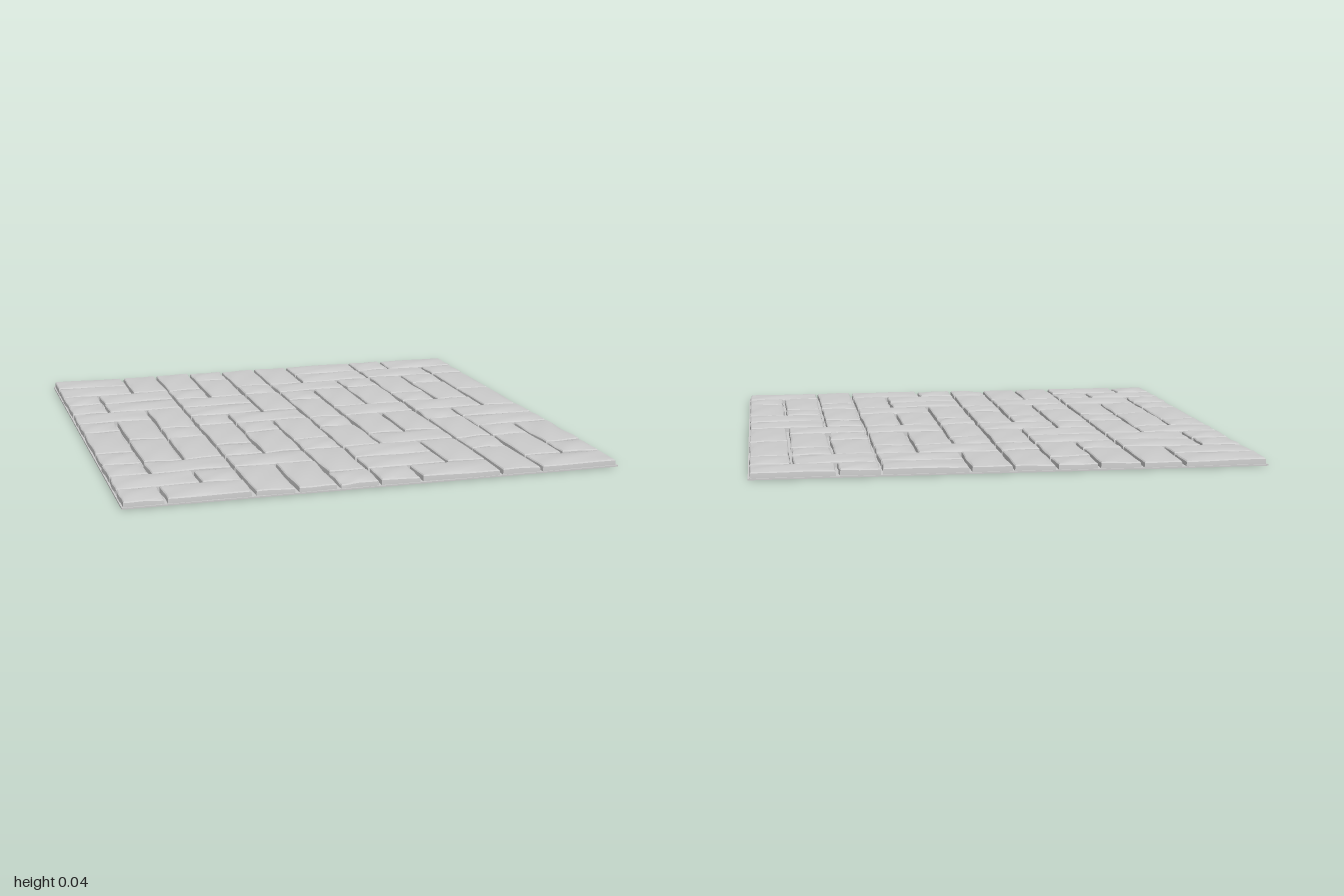
import * as THREE from 'three';
import { toCreasedNormals } from 'three/addons/utils/BufferGeometryUtils.js';

// Paving layout: H = two cells wide, V = two cells deep, S = single, . = already covered
const LAYOUT = [
  'H.VVSVVH.SH.',
  'H...V..H.H.S',
  'SH.S.SH.SVSV',
  'SH.H.VSVV.V.',
  'H.VH..V..S.V',
  'SV.SH..H.H..',
  'V.SVSVSVVSH.',
  '.VV.V.V..VH.',
  'S..S.S.H..SV',
  'SH.H.VH.VSV.',
  'H.SVV.H..V.S',
  'SH...SSH..H.',
];
const CELL = 2 / LAYOUT.length;
const GAP = 0.006;
const BASE = 0.006;

function seeded(seed) {
  let s = seed;
  return () => {
    s = (s * 16807) % 2147483647;
    return s / 2147483647;
  };
}

const limit = (n) => THREE.MathUtils.clamp(n, -0.998, 0.998);

// One worn stone: a box with wobbly sides, a rounded rim and a slightly domed, tilted top
function stoneGeometry(cx, cz, w, d, rand) {
  const vary = (a) => (rand() * 2 - 1) * a;
  const geo = new THREE.BoxGeometry(2, 2, 2, w > d ? 12 : 8, 3, d > w ? 12 : 8);
  const pos = geo.attributes.position;

  const tiltX = vary(0.0018), tiltZ = vary(0.0018), lift = vary(0.001);
  const skewX = vary(0.003), skewZ = vary(0.003);
  const waveX = vary(0.002), waveZ = vary(0.002);
  const phase = rand() * 6, ripple = 0.0007 + rand() * 0.0008;
  const chipped = w === d && rand() < 0.35;
  const chipX = rand() < 0.5 ? -1 : 1;

  for (let i = 0; i < pos.count; i++) {
    // Rows of vertices are packed towards the rim
    const u = Math.sin(pos.getX(i) * Math.PI / 2);
    const v = Math.sin(pos.getZ(i) * Math.PI / 2);
    const level = Math.round((pos.getY(i) + 1) * 1.5);

    // Wobbly outline, pulled in at the rim
    const inset = [0, 0, 0.001, 0.005][level];
    const x = u * (w / 2 - inset) + skewX * v * u + waveX * Math.sin(v * 4 + phase) * u * u;
    const z = v * (d / 2 - inset) + skewZ * u * v + waveZ * Math.sin(u * 4 + phase) * v * v;

    // Domed top
    let top = 0.0285 + 0.0065 * (1 - Math.pow(Math.abs(u), 2.5)) * (1 - Math.pow(Math.abs(v), 2.5));
    top += lift + tiltX * u + tiltZ * v + ripple * Math.sin(u * 3 + v * 4 + phase);
    if (chipped) {
      const r = Math.hypot(u - chipX * 0.8, v - 0.9);
      top -= 0.006 * Math.max(0, 1 - r / 0.9);
    }
    const y = [0.001, 0.012, top - 0.004, top][level];
    pos.setXYZ(i, limit(cx + x), y, limit(cz + z));
  }
  return toCreasedNormals(geo, 0.6);
}

export function createModel() {
  const model = new THREE.Group();
  model.name = 'cobblePavement';
  const material = new THREE.MeshStandardMaterial({ color: 0xcccccc });

  // Mortar bed under the stones
  const bed = new THREE.Mesh(new THREE.BoxGeometry(2, BASE, 2), material);
  bed.name = 'mortarBed';
  bed.position.y = BASE / 2;
  model.add(bed);

  // Stones
  const stones = new THREE.Group();
  stones.name = 'stones';
  const names = { H: 'wideStone', V: 'deepStone', S: 'squareStone' };
  const rand = seeded(4711);
  LAYOUT.forEach((line, row) => {
    [...line].forEach((kind, col) => {
      if (kind === '.') return;
      const w = kind === 'H' ? 2 * CELL : CELL;
      const d = kind === 'V' ? 2 * CELL : CELL;
      const cx = -1 + col * CELL + w / 2;
      const cz = -1 + row * CELL + d / 2;
      const geo = stoneGeometry(cx, cz, w - 2 * GAP, d - 2 * GAP, rand);
      const stone = new THREE.Mesh(geo, material);
      stone.name = names[kind];
      stones.add(stone);
    });
  });
  model.add(stones);
  return model;
}
